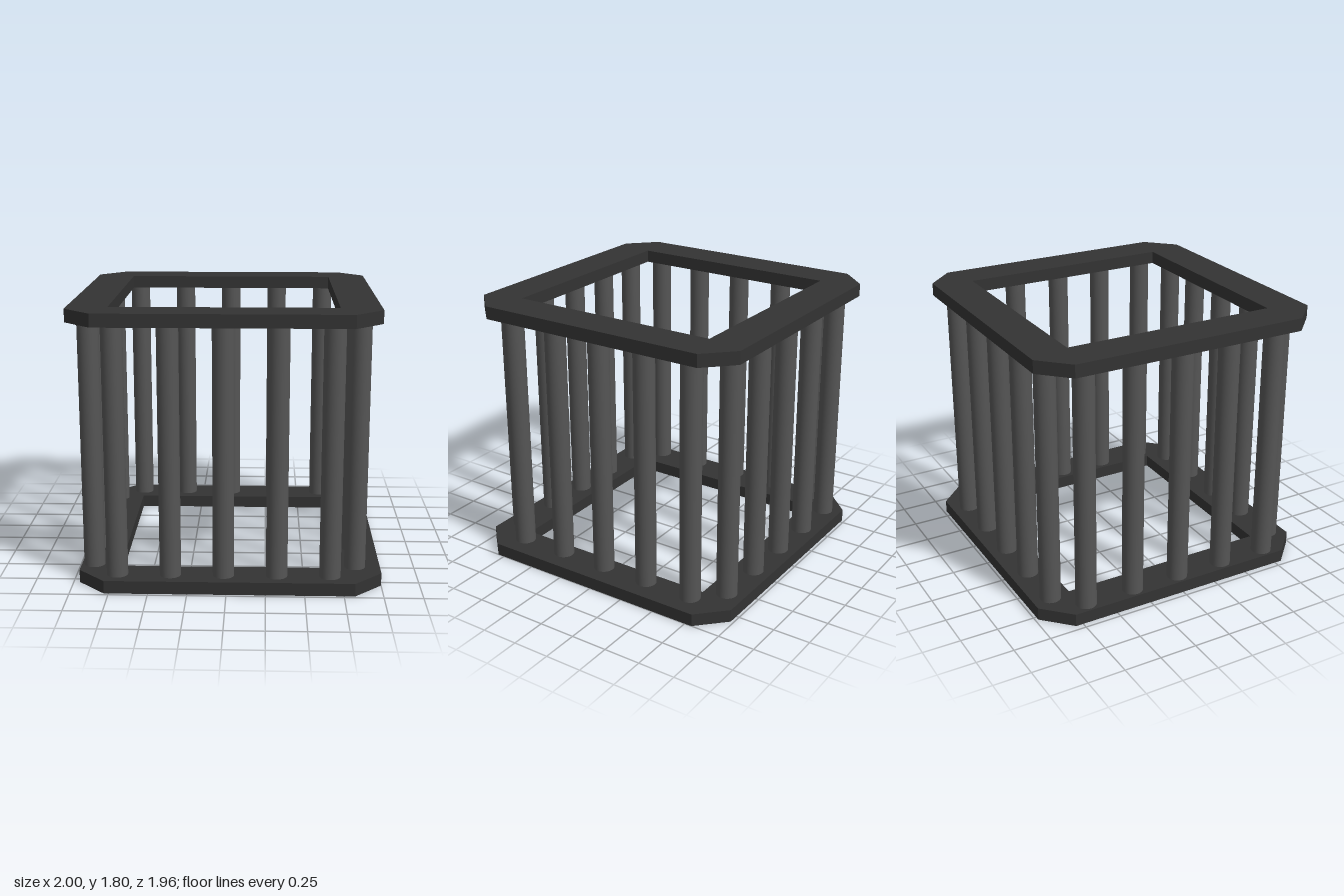
import * as THREE from 'three';

const HEIGHT = 1.8, PLATE = 0.085, HALF = 0.98, CUT = 0.18, HOLE = 0.72;
const SHIFT = 0.02; // the two frames are offset sideways in opposite directions

// Square frame with chamfered outer corners and a square opening
function frameGeometry() {
  const h = HALF, c = HALF - CUT, i = HOLE;
  const points = (list) => list.map(([x, y]) => new THREE.Vector2(x, y));
  const shape = new THREE.Shape(points([
    [c, -h], [h, -c], [h, c], [c, h], [-c, h], [-h, c], [-h, -c], [-c, -h],
  ]));
  shape.holes.push(new THREE.Path(points([[-i, -i], [-i, i], [i, i], [i, -i]])));
  const geometry = new THREE.ExtrudeGeometry(shape, { depth: PLATE, bevelEnabled: false });
  return geometry.rotateX(-Math.PI / 2);
}

export function createModel() {
  const model = new THREE.Group();
  model.name = 'cage';
  const frameMaterial = new THREE.MeshStandardMaterial({ color: 0x333333 });
  const barMaterial = new THREE.MeshStandardMaterial({ color: 0x555555 });

  // Bottom and top frames
  const frame = frameGeometry();
  const addFrame = (name, x, y) => {
    const mesh = new THREE.Mesh(frame, frameMaterial);
    mesh.name = name;
    mesh.position.set(x, y, 0);
    model.add(mesh);
  };
  addFrame('bottomFrame', SHIFT, 0);
  addFrame('topFrame', -SHIFT, HEIGHT - PLATE);

  // Five round bars along each side
  const barGeometry = new THREE.CylinderGeometry(0.069, 0.069, HEIGHT - 2 * PLATE, 32);
  const reach = 0.855, spacing = 0.342;
  ['front', 'left', 'back', 'right'].forEach((side, s) => {
    const row = new THREE.Group();
    row.name = side + 'Bars';
    row.position.set(-SHIFT, HEIGHT / 2, 0);
    row.rotation.y = s * Math.PI / 2;
    for (let i = -2; i <= 2; i++) {
      const bar = new THREE.Mesh(barGeometry, barMaterial);
      bar.name = 'bar';
      bar.position.set(i * spacing, 0, reach);
      row.add(bar);
    }
    model.add(row);
  });

  return model;
}
